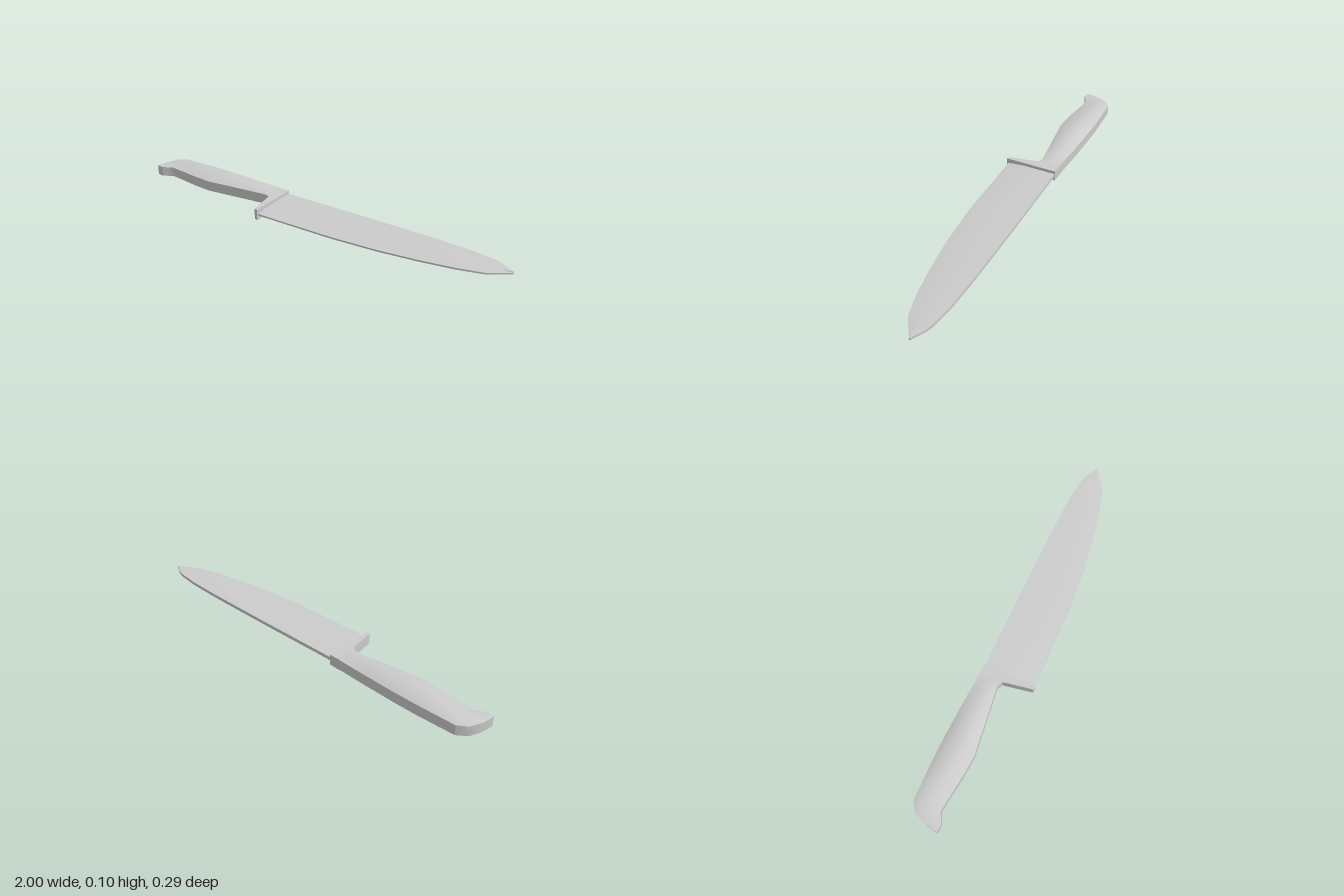
import * as THREE from 'three';
import { toCreasedNormals } from 'three/addons/utils/BufferGeometryUtils.js';

const MID = 0.049; // height of the knife's middle plane

// Skin a list of equal-length rings, ordered along +x, and cap both ends
function loft(rings, crease) {
  const n = rings[0].length;
  const index = [];
  for (let i = 0; i < rings.length - 1; i++) {
    for (let j = 0; j < n; j++) {
      const k = (j + 1) % n;
      const a = i * n + j, b = i * n + k;
      index.push(a, b, b + n, a, b + n, a + n);
    }
  }
  const last = (rings.length - 1) * n;
  for (let j = 1; j < n - 1; j++) {
    index.push(0, j + 1, j, last, last + j, last + j + 1);
  }
  const geometry = new THREE.BufferGeometry();
  geometry.setAttribute('position', new THREE.Float32BufferAttribute(rings.flat(2), 3));
  geometry.setIndex(index);
  return toCreasedNormals(geometry, crease);
}

// Handle section: flat side walls with a shallow dome above and below
function handleRing([bx, bz, fx, fz, rim, dome]) {
  const profile = [[0, rim], [0.26, dome], [0.68, dome], [1, rim]];
  const point = ([t, h], side) => [bx + (fx - bx) * t, MID + side * h, bz + (fz - bz) * t];
  return [
    ...profile.map((p) => point(p, 1)),
    ...profile.slice().reverse().map((p) => point(p, -1)),
  ];
}

// Blade section: flat underside, bevel on top running down to the cutting edge
function bladeRing([x, spine, bevel, edge, top]) {
  const bottom = 0.043;
  return [
    [x, top, spine], [x, top, bevel], [x, bottom + 0.008, edge],
    [x, bottom, edge], [x, bottom, spine],
  ];
}

export function createModel() {
  const group = new THREE.Group();
  const material = new THREE.MeshStandardMaterial({ color: 0xcccccc });
  const add = (name, geometry) => {
    const mesh = new THREE.Mesh(geometry, material);
    mesh.name = name;
    group.add(mesh);
  };

  // Handle with hooked butt: back x, back z, front x, front z, wall half height, dome half height
  const handle = [
    [-1.0, 0.01, -0.965, 0.015, 0.025, 0.026],
    [-0.99, -0.05, -0.935, 0.0, 0.025, 0.028],
    [-0.965, -0.11, -0.912, -0.012, 0.025, 0.031],
    [-0.92, -0.143, -0.86, -0.006, 0.025, 0.036],
    [-0.72, -0.145, -0.73, 0.012, 0.026, 0.046],
    [-0.6, -0.142, -0.63, 0.02, 0.026, 0.048],
    [-0.43, -0.133, -0.43, -0.004, 0.026, 0.045],
    [-0.3, -0.124, -0.29, -0.02, 0.026, 0.03],
    [-0.27, -0.123, -0.262, -0.006, 0.028, 0.028],
  ];
  add('handle', loft(handle.map(handleRing), 0.6));

  // Guard reaching forward over the heel of the blade
  const guard = [
    [-0.27, -0.123, -0.262, -0.006, 0.028, 0.028],
    [-0.25, -0.122, -0.237, 0.14, 0.027, 0.027],
    [-0.22, -0.12, -0.22, 0.143, 0.027, 0.027],
  ];
  add('guard', loft(guard.map(handleRing), 0.6));

  // Blade: x, spine z, bevel z, edge z, top height
  const blade = [
    [-0.235, -0.118, 0.05, 0.136, 0.06],
    [0.2, -0.113, 0.05, 0.136, 0.06],
    [0.43, -0.109, 0.045, 0.122, 0.06],
    [0.63, -0.104, 0.025, 0.097, 0.06],
    [0.78, -0.096, 0.005, 0.07, 0.059],
    [0.9, -0.08, -0.015, 0.038, 0.058],
    [0.94, -0.067, -0.02, 0.012, 0.057],
    [1.0, -0.033, -0.031, -0.029, 0.055],
  ];
  add('blade', loft(blade.map(bladeRing), 0.5));

  return group;
}
